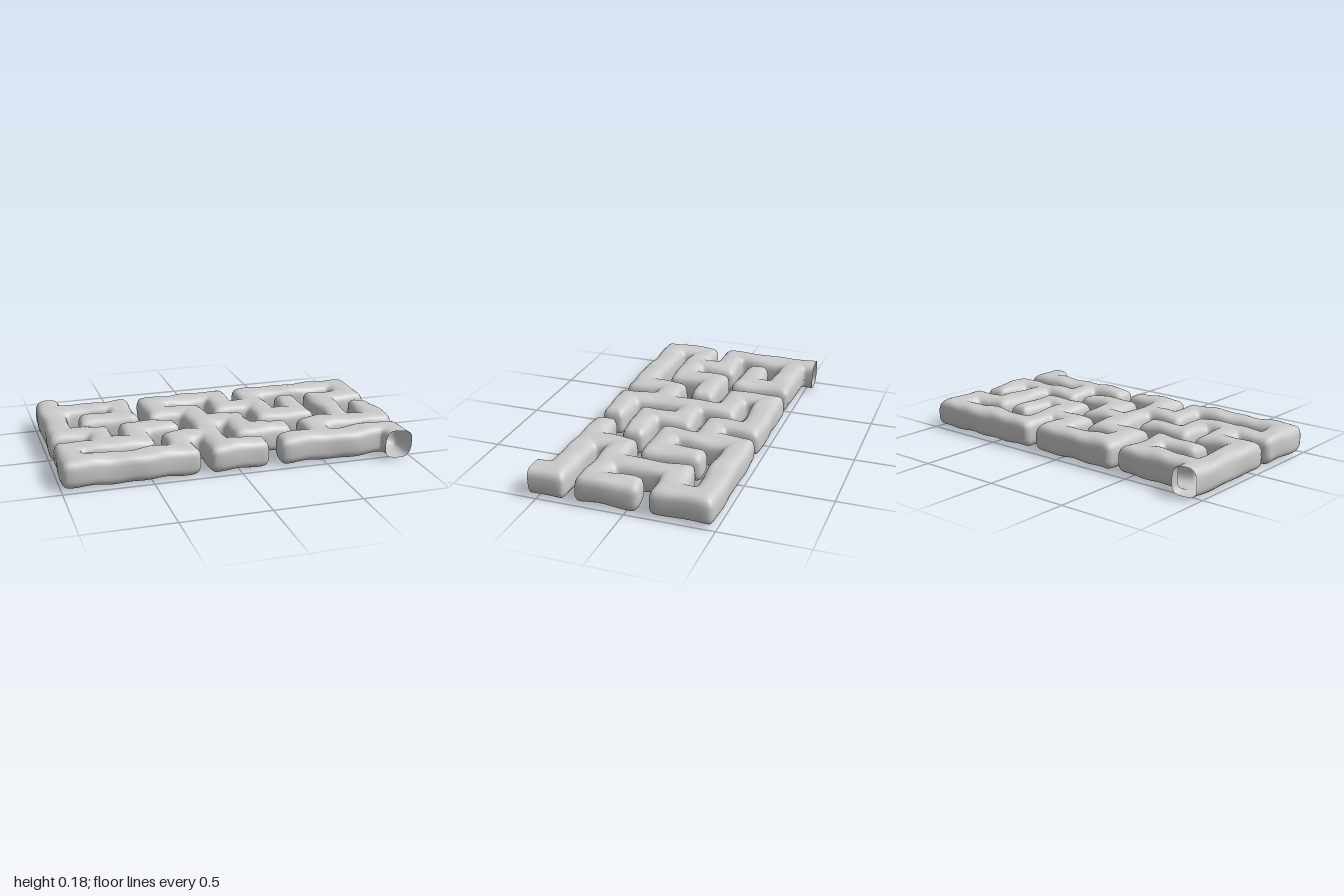
import * as THREE from 'three';

// Maze of square-ish tunnels on a 10 x 5 grid: each path lists its corner cells [column, row].
const PATHS = [
  [[0, -1], [0, 2], [1, 2], [1, 3], [2, 3], [2, 2], [3, 2]],
  [[0, 0], [2, 0], [2, 1], [1, 1]],
  [[1, 3], [0, 3], [0, 4], [3, 4], [3, 3], [4, 3], [4, 4], [5, 4]],
  [[4, 3], [4, 1], [3, 1], [3, 0], [5, 0], [5, 1], [6, 1], [6, 0], [9, 0], [9, 1], [8, 1], [8, 3], [9, 3], [9, 2]],
  [[4, 2], [5, 2], [5, 3], [6, 3]],
  [[6, 1], [6, 2], [7, 2], [7, 1]],
  [[8, 3], [7, 3], [7, 4]],
  [[6, 4], [9, 4], [9, 5]],
];
const HALF_W = 0.077, HALF_H = 0.081, MID_Y = 0.097;
const PARTS = 6;        // pieces per outline segment
const END_TAPER = 0.9;  // dead ends are a little slimmer
const ROUNDING = 0.024; // softness of the corners in plan

const key = (c, r) => c + ',' + r;
const right = ([x, z]) => [-z, x];
const left = ([x, z]) => [z, -x];
const add = (a, b) => [a[0] + b[0], a[1] + b[1]];
const scale = (a, s) => [a[0] * s, a[1] * s];
// The two outer cells are cut short to form the open mouths.
const world = ([c, r]) => [(c - 4.5) * 0.204, THREE.MathUtils.clamp((r - 2) * 0.205, -0.545, 0.545)];

function collectEdges() {
  const edges = new Set();
  for (const path of PATHS)
    for (let i = 1; i < path.length; i++) {
      let a = path[i - 1];
      const d = [Math.sign(path[i][0] - a[0]), Math.sign(path[i][1] - a[1])];
      while (key(...a) !== key(...path[i])) {
        const b = add(a, d);
        edges.add(key(...a) + '>' + key(...b)).add(key(...b) + '>' + key(...a));
        a = b;
      }
    }
  return edges;
}

// Walk once round the whole maze, keeping the wall on the right.
// Each point is a spot on the centreline plus a sideways direction.
function walkOutline() {
  const edges = collectEdges(), points = [];
  let cell = [0, -1], d = [0, 1];
  do {
    const next = add(cell, d), a = world(cell), b = world(next);
    points.push({ base: scale(add(a, b), 0.5), off: right(d) });
    const back = [-d[0], -d[1]];
    const turn = [right(d), d, left(d), back].find(t => edges.has(key(...next) + '>' + key(...add(next, t))));
    if (turn[0] === back[0] && turn[1] === back[1]) {
      const open = next[1] < 0 || next[1] > 4;
      if (open) points.push({ base: b, off: right(d), pin: true, gap: true }, { base: b, off: left(d), pin: true });
      else for (const side of [right(d), left(d)]) points.push({ base: b, off: scale(add(side, d), END_TAPER) });
    } else {
      const straight = turn[0] === d[0] && turn[1] === d[1];
      points.push({ base: b, off: straight ? right(d) : add(right(d), right(turn)) });
    }
    cell = next;
    d = turn;
  } while (!(cell[0] === 0 && cell[1] === -1));
  return points;
}

// Split every segment alike, so both walls share the same centreline points.
function subdivide(points) {
  return points.flatMap((p, i) => {
    const q = points[(i + 1) % points.length];
    if (p.gap) return [p];
    return Array.from({ length: PARTS }, (_, k) => {
      const mix = f => [0, 1].map(j => p[f][j] + (q[f][j] - p[f][j]) * k / PARTS);
      return { base: mix('base'), off: mix('off'), pin: k === 0 && p.pin };
    });
  });
}

// One ring of the tunnel wall at sideways distance w; corners are rounded by
// averaging along the outline, more strongly the further out the ring lies.
function makeRing(outline, w) {
  const n = outline.length;
  const sharp = outline.map(p => add(p.base, scale(p.off, w)));
  const sigma = ROUNDING * w / HALF_W;
  if (sigma === 0) return sharp;
  const step = sharp.map((p, i) => Math.hypot(sharp[(i + 1) % n][0] - p[0], sharp[(i + 1) % n][1] - p[1]));
  return sharp.map((p, i) => {
    if (outline[i].pin) return p;
    let sum = [0, 0], total = 0;
    for (const dir of [1, -1]) {
      let s = 0;
      for (let k = 0; k < 30 && s < 3 * sigma; k++) {
        const j = (i + dir * k + n) % n;
        if (k > 0 && outline[j].pin) break;
        const weight = Math.exp(-s * s / (2 * sigma * sigma)) * (step[j] + step[(j + n - 1) % n]) / (k ? 1 : 2);
        sum = add(sum, scale(sharp[j], weight));
        total += weight;
        s += dir > 0 ? step[j] : step[(j + n - 1) % n];
      }
    }
    return scale(sum, 1 / total);
  });
}

// Gentle hand-shaped unevenness.
function wobble(x, y, z) {
  return [
    x + 0.004 * Math.sin(17 * z + 9 * x + 12 * y),
    y + 0.006 * Math.sin(15 * x + 2) * Math.cos(13 * z + 1) + 0.003 * Math.sin(31 * x - 23 * z),
    z + 0.004 * Math.sin(16 * x - 8 * z + 10 * y),
  ];
}

export function createModel() {
  const outline = subdivide(walkOutline());
  const n = outline.length, rows = 16, position = [], index = [];

  // Half cross-section from the crest, round the wall, to the underside.
  for (let k = 0; k <= rows; k++) {
    const a = Math.PI * (0.5 - k / rows);
    const w = k % rows === 0 ? 0 : HALF_W * Math.pow(Math.cos(a), 0.64);
    const y = MID_Y + HALF_H * Math.sign(Math.sin(a)) * Math.pow(Math.abs(Math.sin(a)), 0.64);
    for (const [x, z] of makeRing(outline, w)) position.push(...wobble(x, y, z));
  }
  for (let k = 0; k < rows; k++)
    for (let i = 0; i < n; i++) {
      if (outline[i].gap) continue; // leave the mouths open
      const j = (i + 1) % n, a = k * n + i, b = k * n + j;
      index.push(a, a + n, b, b, a + n, b + n);
    }

  const geometry = new THREE.BufferGeometry();
  geometry.setAttribute('position', new THREE.Float32BufferAttribute(position, 3));
  geometry.setIndex(index);
  geometry.computeVertexNormals();
  // Both halves meet on the centreline, so their normals agree there.
  for (let i = 0; i < n; i++) {
    geometry.attributes.normal.setXYZ(i, 0, 1, 0);
    geometry.attributes.normal.setXYZ(rows * n + i, 0, -1, 0);
  }

  const material = new THREE.MeshStandardMaterial({ color: 0xcccccc, side: THREE.DoubleSide });
  const tunnels = new THREE.Mesh(geometry, material);
  tunnels.name = 'mazeTunnels';
  const group = new THREE.Group();
  group.name = 'tunnelMaze';
  group.add(tunnels);
  return group;
}
